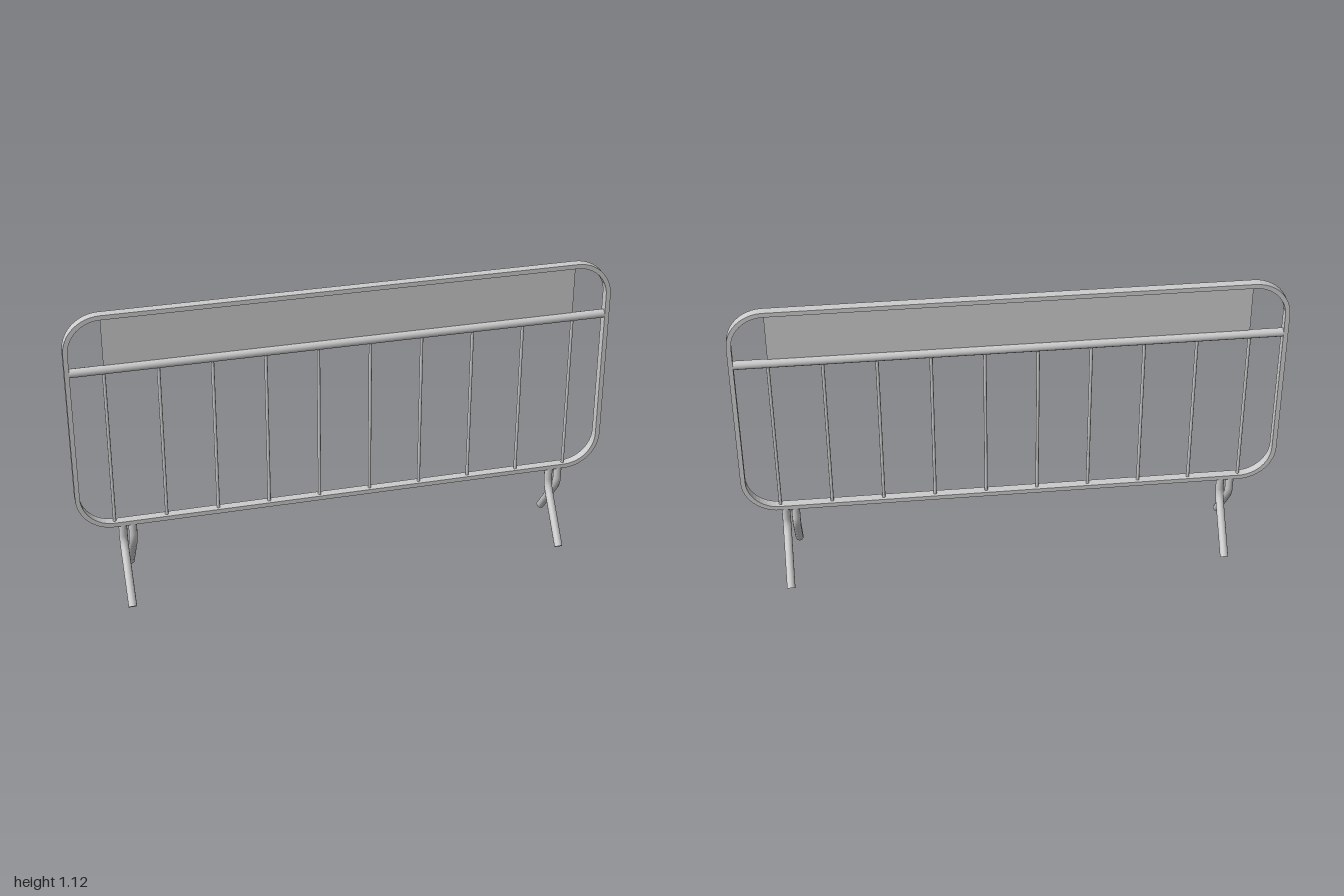
import * as THREE from 'three';

export function createModel() {
  const model = new THREE.Group();
  const material = new THREE.MeshStandardMaterial({ color: 0xcccccc });
  const thin = new THREE.MeshStandardMaterial({ color: 0xcccccc, side: THREE.DoubleSide });

  const add = (name, geometry, x = 0, y = 0, z = 0, mat = material) => {
    const mesh = new THREE.Mesh(geometry, mat);
    mesh.name = name;
    mesh.position.set(x, y, z);
    model.add(mesh);
    return mesh;
  };

  // Rounded rectangle outline centred on x = 0
  const roundedRect = (Type, halfWidth, bottom, top, r) => {
    const p = new Type();
    p.moveTo(halfWidth - r, bottom);
    p.absarc(halfWidth - r, bottom + r, r, -Math.PI / 2, 0);
    p.absarc(halfWidth - r, top - r, r, 0, Math.PI / 2);
    p.absarc(-halfWidth + r, top - r, r, Math.PI / 2, Math.PI);
    p.absarc(-halfWidth + r, bottom + r, r, Math.PI, Math.PI * 1.5);
    p.closePath();
    return p;
  };

  // Flat-bar outer frame
  const bar = 0.017, depth = 0.034;
  const outline = roundedRect(THREE.Shape, 0.997, 0.28, 1.13, 0.135);
  outline.holes.push(roundedRect(THREE.Path, 0.997 - bar, 0.28 + bar, 1.13 - bar, 0.135 - bar));
  const frame = new THREE.ExtrudeGeometry(outline, { depth, bevelEnabled: false, curveSegments: 6 });
  add('frame', frame, 0, 0, -depth / 2);

  // Round cross rail
  const rail = new THREE.CylinderGeometry(0.016, 0.016, 1.968, 12);
  add('crossRail', rail, 0, 0.915).rotation.z = Math.PI / 2;

  // Upright bars
  const upright = new THREE.CylinderGeometry(0.006, 0.006, 0.625, 8);
  for (let i = 0; i < 10; i++) add('uprightBar', upright, -0.86 + (i * 1.72) / 9, 0.6025);

  // Thin sign panel between rail and frame top
  add('panel', new THREE.PlaneGeometry(1.72, 0.2), 0, 1.02, 0, thin);

  // Bent tube feet, splayed forwards and backwards
  const radius = 0.0155;
  const addLeg = (name, x, side) => {
    const at = (y, z) => new THREE.Vector3(0, y, z * side);
    const path = new THREE.CurvePath();
    const bendTop = at(0.232, 0), bendEnd = at(0.172, 0.028), end = at(0.017, 0.153);
    path.add(new THREE.LineCurve3(at(0.288, 0), bendTop));
    path.add(new THREE.QuadraticBezierCurve3(bendTop, at(0.205, 0), bendEnd));
    path.add(new THREE.LineCurve3(bendEnd, end));
    add(name, new THREE.TubeGeometry(path, 24, radius, 12), x, 0, 0);
    // End cap facing along the tube
    const cap = add(name + 'Cap', new THREE.CircleGeometry(radius, 12), x, end.y, end.z);
    const direction = end.clone().sub(bendEnd).normalize();
    cap.quaternion.setFromUnitVectors(new THREE.Vector3(0, 0, 1), direction);
  };
  for (const x of [-0.814, 0.824]) {
    addLeg('frontLeg', x - 0.018, 1);
    addLeg('backLeg', x + 0.018, -1);
  }

  return model;
}
